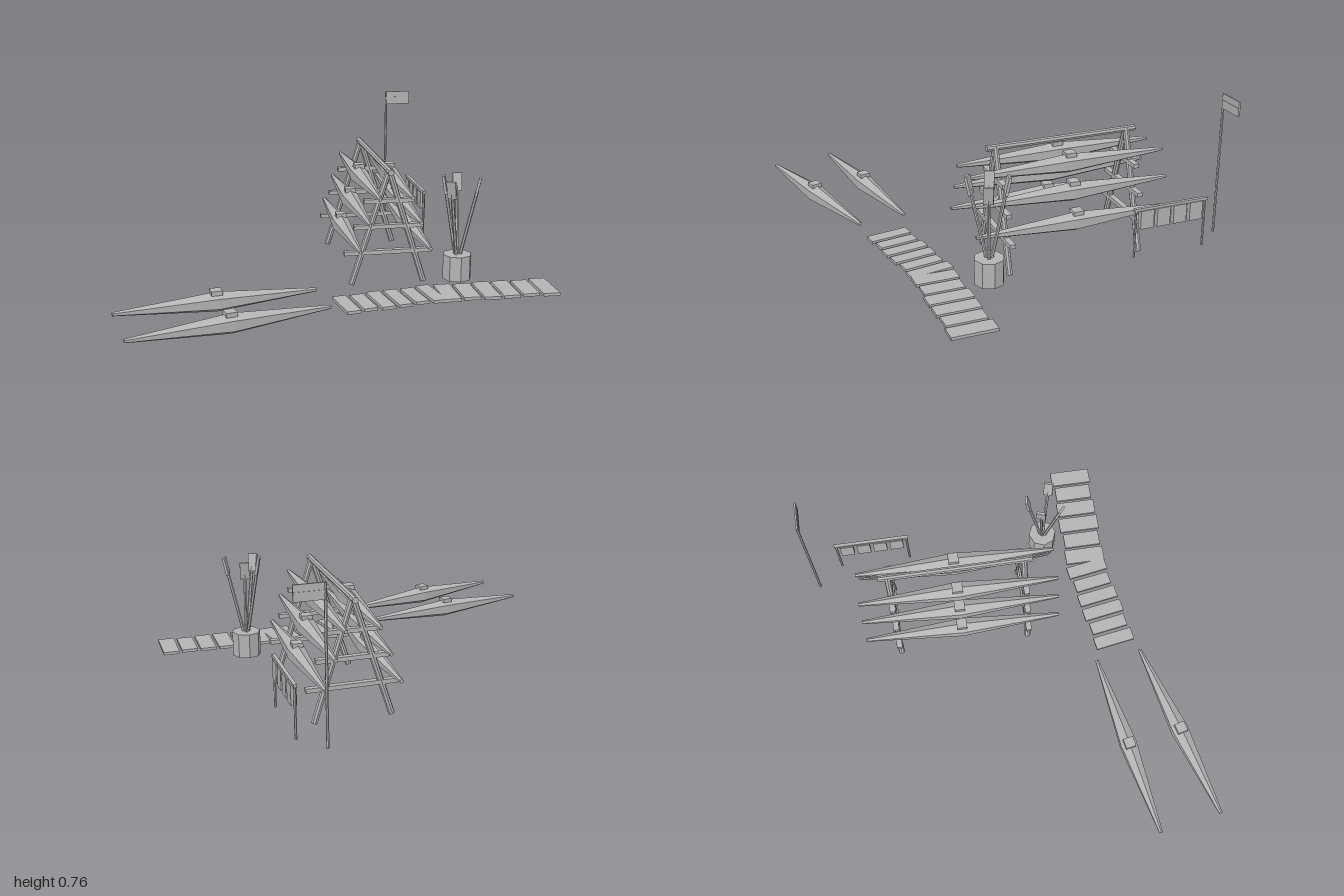
import * as THREE from 'three';

export function createModel() {
  const model = new THREE.Group();
  const grey = new THREE.MeshStandardMaterial({ color: 0xb4b4b4, flatShading: true });
  grey.name = 'plain grey';

  const add = (parent, name, geometry, x = 0, y = 0, z = 0) => {
    const mesh = new THREE.Mesh(geometry, grey);
    mesh.name = name;
    mesh.position.set(x, y, z);
    parent.add(mesh);
    return mesh;
  };
  const box = (parent, name, size, pos) => add(parent, name, new THREE.BoxGeometry(...size), ...pos);
  const group = (name, parent = model) => {
    const g = new THREE.Group();
    g.name = name;
    parent.add(g);
    return g;
  };
  // Round bar between two points
  const rod = (parent, name, a, b, r, sides = 8) => {
    const from = new THREE.Vector3(...a), to = new THREE.Vector3(...b);
    const dir = to.clone().sub(from);
    const mesh = add(parent, name, new THREE.CylinderGeometry(r, r, dir.length(), sides));
    mesh.position.copy(from).add(to).multiplyScalar(0.5);
    mesh.quaternion.setFromUnitVectors(new THREE.Vector3(0, 1, 0), dir.normalize());
    return mesh;
  };

  // Six-sided hull tapering to both ends, with a small hatch, lying along z
  const kayak = (name, length, x, y, z, yaw) => {
    const g = group(name);
    const h = length / 2;
    const profile = [[0, -h], [0.009, -h], [0.046, 0], [0.009, h], [0, h]];
    const hull = new THREE.LatheGeometry(profile.map(p => new THREE.Vector2(...p)), 6);
    hull.rotateX(Math.PI / 2);
    add(g, 'hull', hull);
    box(g, 'hatch', [0.05, 0.02, 0.05], [0, 0.045, -0.005]);
    g.position.set(x, y, z);
    g.rotation.y = yaw;
  };

  // A-frame storage rack
  const cx = 0.303;
  const rack = group('storageRack');
  for (const z of [0.125, -0.53]) {
    for (const s of [-1, 1]) rod(rack, 'rackLeg', [cx + s * 0.178, 0.005, z], [cx, 0.565, z], 0.015);
    for (const [y, half] of [[0.163, 0.215], [0.29, 0.169], [0.416, 0.122]])
      box(rack, 'rackCrossbar', [half * 2, 0.02, 0.028], [cx, y, z]);
  }
  rod(rack, 'rackRidge', [cx, 0.56, 0.168], [cx, 0.56, -0.577], 0.015);

  // Three kayaks on each side of the rack, two on the ground
  for (const s of [-1, 1])
    for (const [offset, y] of [[0.168, 0.215], [0.122, 0.343], [0.077, 0.465]])
      kayak('rackKayak', 0.97, cx + s * offset, y, -0.203, 0);
  kayak('groundKayak', 0.912, -0.55, 0.107, 0.52, Math.PI / 2 + 0.17);
  kayak('groundKayak', 0.905, -0.512, 0.107, 0.783, Math.PI / 2 + 0.26);

  // Plank walkway with a bend
  const walkway = group('walkway');
  for (let i = 0; i < 12; i++) {
    const bent = i < 6;
    const length = i % 3 === 0 ? 0.2 : i % 3 === 1 ? 0.185 : 0.205;
    const plank = box(walkway, 'plank', [bent ? 0.064 : 0.078, 0.014, length],
      bent ? [0.016 + i * 0.081, 0.067, 0.553 - i * 0.014] : [0.497 + (i - 6) * 0.0925, 0.067, 0.483]);
    plank.rotation.y = bent ? 0.16 : 0;
  }

  // Barrel of leaning paddles
  const barrel = group('paddleBarrel');
  const bx = 0.604, bz = 0.272;
  add(barrel, 'barrel', new THREE.CylinderGeometry(0.069, 0.069, 0.12, 8), bx, 0.121, bz);
  for (const [x, z] of [[0.617, 0.193], [0.542, 0.247], [0.684, 0.305], [0.547, 0.34]]) {
    const dx = x - bx, dz = z - bz;
    const paddle = group('paddle', barrel);
    paddle.position.set(bx, 0.12, bz);
    paddle.rotation.order = 'YXZ';
    paddle.rotation.set(Math.atan2(Math.hypot(dx, dz), 0.39), Math.atan2(dx, dz), 0);
    add(paddle, 'paddleShaft', new THREE.CylinderGeometry(0.008, 0.008, 0.38, 6), 0, 0.19, 0);
    box(paddle, 'paddleBlade', [0.044, 0.085, 0.012], [0, 0.4, 0]);
  }

  // Rail with hanging vests
  const rail = group('vestRail');
  for (const z of [-0.427, -0.783]) rod(rail, 'railPost', [0.627, 0.06, z], [0.627, 0.3, z], 0.006, 6);
  box(rail, 'railBar', [0.016, 0.014, 0.376], [0.627, 0.297, -0.605]);
  for (let i = 0; i < 4; i++)
    box(rail, 'hangingVest', [0.026, 0.09, 0.066], [0.627, 0.247, -0.48 - i * 0.084]);

  // Flagpole with a striped flag
  const flag = group('flagpole');
  rod(flag, 'pole', [0.527, 0.06, -0.907], [0.527, 0.757, -0.907], 0.0065, 6);
  box(flag, 'flag', [0.13, 0.07, 0.008], [0.592, 0.722, -0.907]);
  box(flag, 'flagStripe', [0.13, 0.01, 0.012], [0.592, 0.722, -0.907]);

  return model;
}
